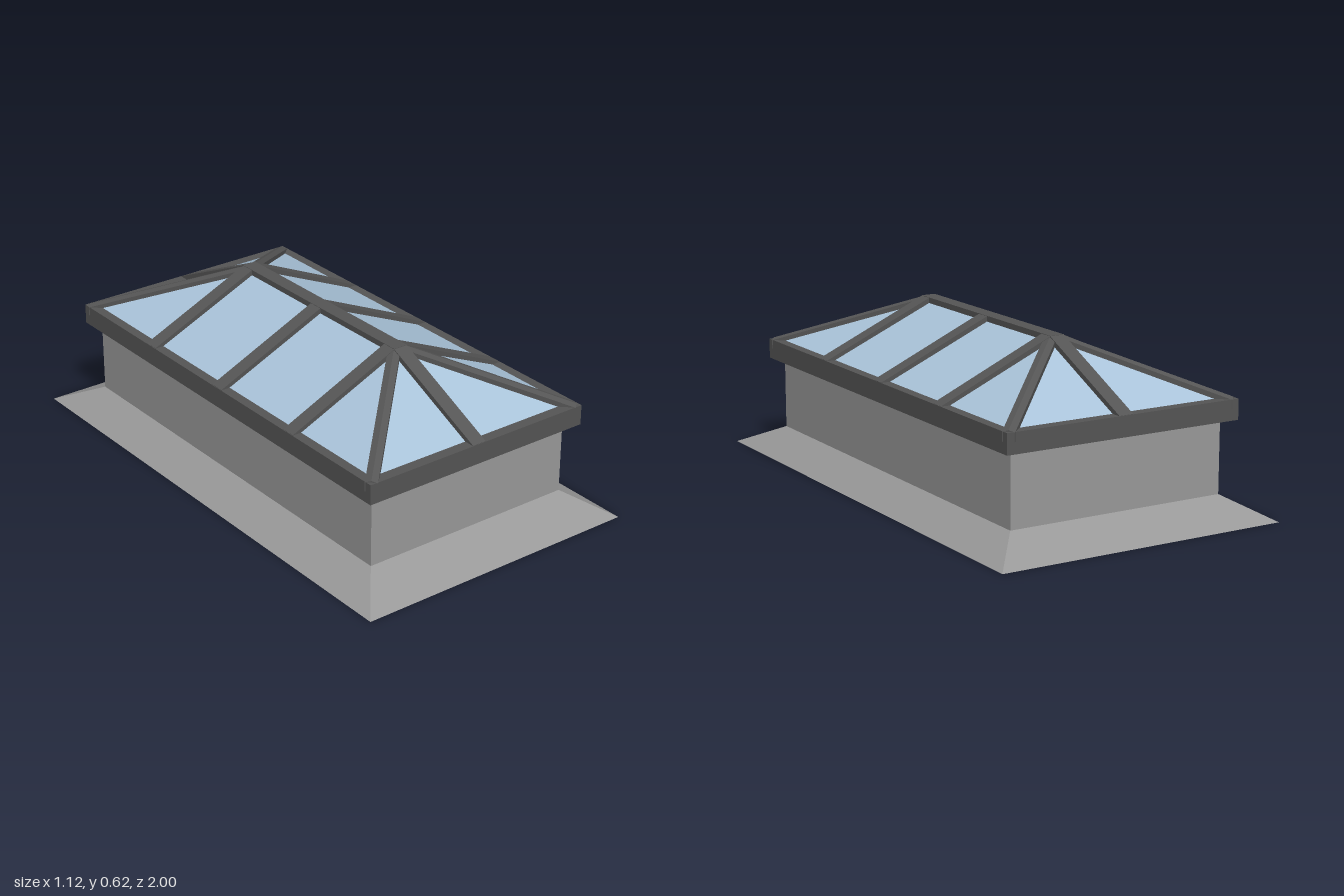
import * as THREE from 'three';
import { ConvexGeometry } from 'three/addons/geometries/ConvexGeometry.js';

const material = (color) => new THREE.MeshStandardMaterial({ color });
const V = (x, y, z) => new THREE.Vector3(x, y, z);

// Four corners of a horizontal rectangle
const rect = (x, y, z) => [V(x, y, z), V(-x, y, z), V(-x, y, -z), V(x, y, -z)];

export function createModel() {
  const model = new THREE.Group();
  model.name = 'roofLantern';
  const curbMat = material(0x999999);
  const frameMat = material(0x555555);
  const glassMat = material(0xa9c3d9);

  const add = (name, geometry, mat) => {
    const mesh = new THREE.Mesh(geometry, mat);
    mesh.name = name;
    model.add(mesh);
    return mesh;
  };
  const block = (name, w, y0, y1, d, mat) => {
    add(name, new THREE.BoxGeometry(w, y1 - y0, d), mat).position.y = (y0 + y1) / 2;
  };

  // Bar with a given cross-section swept between two points, ends cut plumb
  const bar = (name, from, to, section) => {
    const shape = new THREE.Shape(section.map(([x, y]) => new THREE.Vector2(x, y)));
    const geometry = new THREE.ExtrudeGeometry(shape, { depth: 1, bevelEnabled: false });
    const along = to.clone().sub(from);
    const up = V(0, 1, 0);
    const side = up.clone().cross(along).normalize();
    geometry.applyMatrix4(new THREE.Matrix4().makeBasis(side, up, along).setPosition(from));
    add(name, geometry, frameMat);
  };
  const flat = [[-0.028, -0.035], [0.028, -0.035], [0.028, 0], [-0.028, 0]];
  const peaked = [[-0.022, -0.04], [0.022, -0.04], [0.022, -0.007], [0, 0], [-0.022, -0.007]];

  // Base: sloped flashing, upright curb and overhanging frame
  add('flashing', new ConvexGeometry([...rect(0.56, 0, 1), ...rect(0.425, 0.08, 0.83)]), curbMat);
  block('curb', 0.85, 0.08, 0.35, 1.66, curbMat);
  block('eavesFrame', 0.934, 0.35, 0.425, 1.754, frameMat);

  // Hipped glass roof
  add('glazing', new ConvexGeometry([
    ...rect(0.43, 0.425, 0.835), V(0, 0.613, 0.42), V(0, 0.613, -0.42),
  ]), glassMat);

  // Ridge bar
  bar('ridgeBar', V(0, 0.622, -0.45), V(0, 0.622, 0.45), flat);

  // Side rafters, hip bars and end rafters
  for (const s of [1, -1]) {
    for (const z of [-0.422, 0, 0.422]) {
      bar('sideRafter', V(s * 0.465, 0.426, z), V(s * 0.027, 0.621, z), flat);
    }
    for (const e of [1, -1]) {
      bar('hipBar', V(s * 0.454, 0.431, e * 0.864), V(s * 0.022, 0.621, e * 0.442), peaked);
    }
    bar('endRafter', V(0, 0.426, s * 0.875), V(0, 0.621, s * 0.449), flat);
  }
  return model;
}
